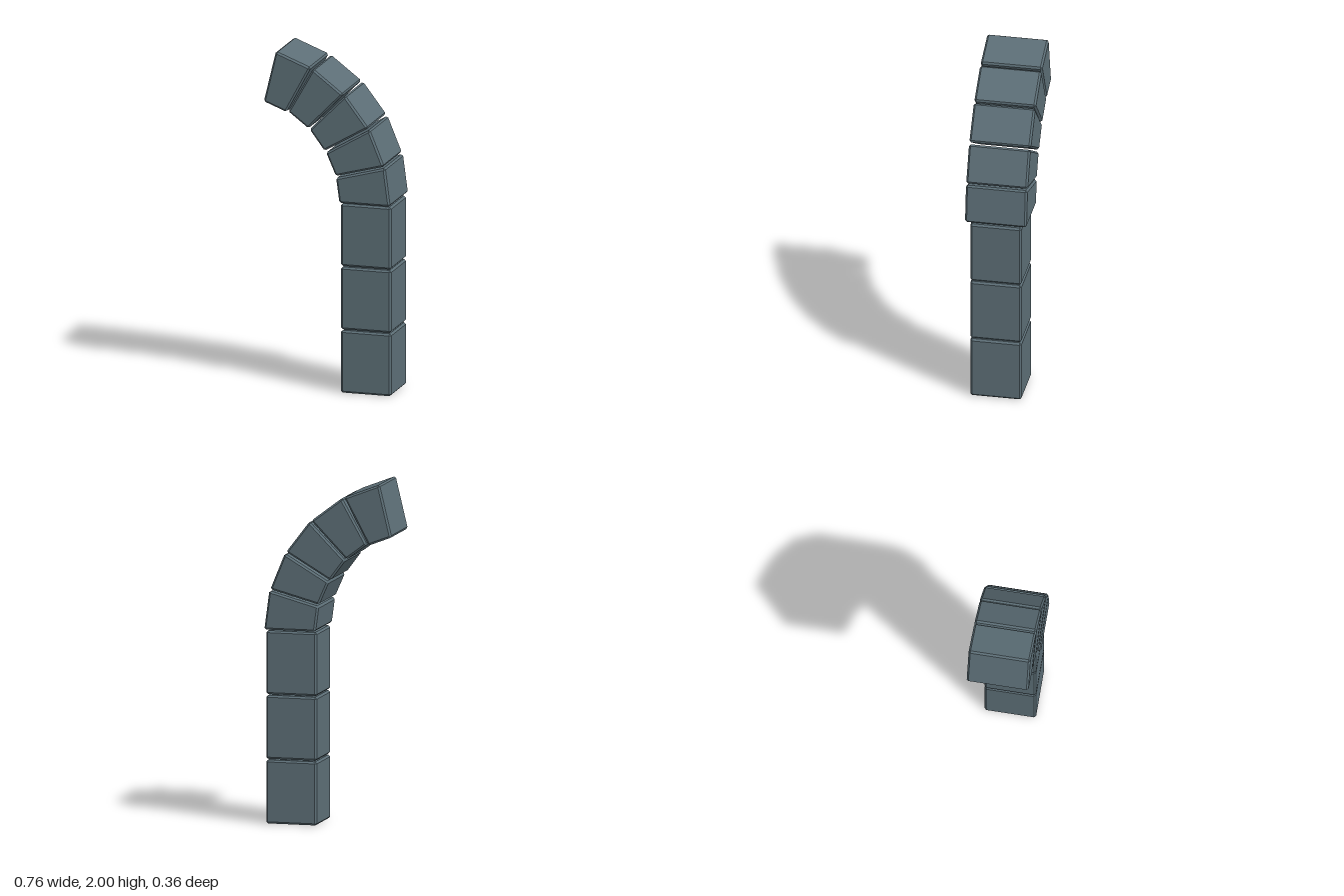
import * as THREE from 'three';
import { ConvexGeometry } from 'three/addons/geometries/ConvexGeometry.js';

// Prism along z from a four-cornered outline, with every edge chamfered
function chamferedBlock(corners, halfDepth, chamfer) {
  const outline = corners.map(([x, y]) => new THREE.Vector2(x, y));
  const points = [];
  outline.forEach((p, i) => {
    const toward = (q) => q.clone().sub(p).setLength(chamfer);
    const a = toward(outline[(i + 3) % 4]);
    const b = toward(outline[(i + 1) % 4]);
    for (const side of [-1, 1]) {
      const edgeZ = side * (halfDepth - chamfer);
      points.push(
        new THREE.Vector3(p.x + a.x + b.x, p.y + a.y + b.y, side * halfDepth),
        new THREE.Vector3(p.x + a.x, p.y + a.y, edgeZ),
        new THREE.Vector3(p.x + b.x, p.y + b.y, edgeZ)
      );
    }
  });
  return new ConvexGeometry(points);
}

export function createModel() {
  const model = new THREE.Group();
  model.name = 'brokenArch';
  const stone = new THREE.MeshStandardMaterial({ color: 0x5c6e76 });
  stone.name = 'slateStone';
  stone.flatShading = true;

  const addBlock = (name, corners, halfDepth) => {
    const mesh = new THREE.Mesh(chamferedBlock(corners, halfDepth, 0.011), stone);
    mesh.name = name;
    model.add(mesh);
  };

  // Pillar: three stacked blocks
  const pitch = 0.376;
  for (let i = 0; i < 3; i++) {
    const y0 = i * pitch;
    const y1 = y0 + 0.37;
    addBlock(`pillarBlock${i + 1}`, [[0.073, y0], [0.376, y0], [0.376, y1], [0.073, y1]], 0.15);
  }

  // Arch: wedge stones, each as inner bottom, outer bottom, outer top, inner top
  const wedges = [
    [[0.073, 1.132], [0.379, 1.132], [0.349, 1.36], [0.053, 1.28]],
    [[0.052, 1.29], [0.343, 1.368], [0.256, 1.58], [-0.007, 1.425]],
    [[-0.016, 1.434], [0.248, 1.589], [0.108, 1.772], [-0.106, 1.555]],
    [[-0.113, 1.56], [0.098, 1.777], [-0.085, 1.916], [-0.235, 1.652]],
    [[-0.245, 1.647], [-0.098, 1.921], [-0.309, 2.003], [-0.382, 1.7]],
  ];
  wedges.forEach((corners, i) => addBlock(`archStone${i + 1}`, corners, 0.18));

  return model;
}
